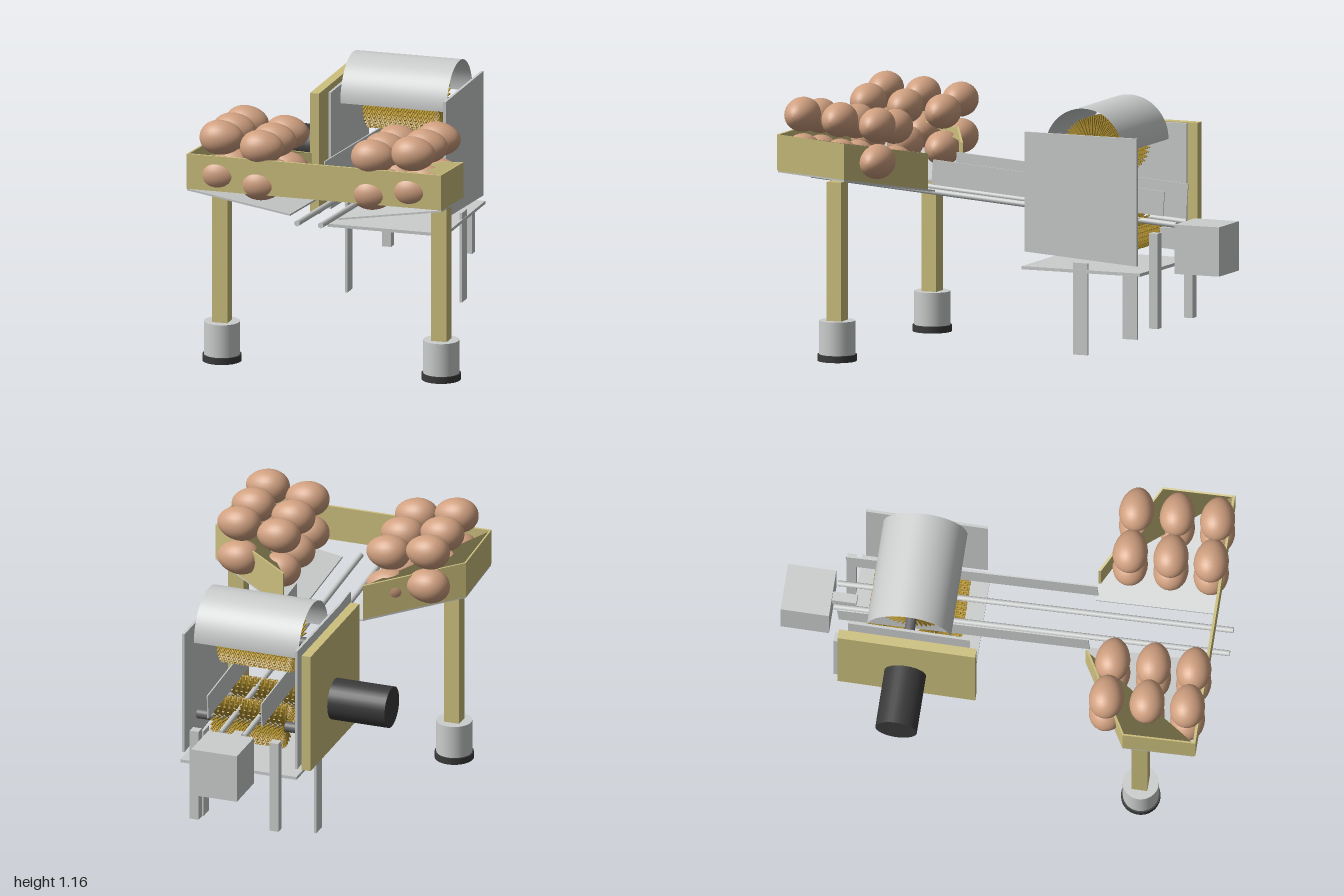
import * as THREE from 'three';
import { mergeGeometries } from 'three/addons/utils/BufferGeometryUtils.js';

const mat = (name, color, side = THREE.FrontSide) => {
  const m = new THREE.MeshStandardMaterial({ color, side });
  m.name = name;
  return m;
};

export function createModel() {
  const steel = mat('steel', 0xcccece, THREE.DoubleSide);
  const tan = mat('tan panel', 0xcdc07e);
  const black = mat('black', 0x3a3a3a);
  const shaftGrey = mat('shaft grey', 0x6a6a6a);
  const gold = mat('bristle gold', 0xb0902f);
  const shell = mat('eggshell', 0xd0a080);

  const root = new THREE.Group();
  root.name = 'eggBrushingMachine';
  const body = new THREE.Group();
  body.name = 'body';
  body.position.x = 0.009;
  root.add(body);

  const add = (name, geo, material, x = 0, y = 0, z = 0) => {
    const m = new THREE.Mesh(geo, material);
    m.name = name;
    m.position.set(x, y, z);
    body.add(m);
    return m;
  };
  const box = (name, material, w, h, d, x, y, z) =>
    add(name, new THREE.BoxGeometry(w, h, d), material, x, y, z);
  const crossCylinder = (r, len) => new THREE.CylinderGeometry(r, r, len, 32).rotateZ(Math.PI / 2);

  // The tray floor falls towards the centre and towards the back
  const floorY = (x, z) => 0.84 - 0.16 * (0.59 - Math.abs(x)) - 0.075 * (0.92 - z);

  // Upright prism over an [x, z] outline, sheared to follow the tray floor
  const prism = (outline, s, height) => {
    const shape = new THREE.Shape(outline.map(([x, z]) => new THREE.Vector2(s * x, -z)));
    const geo = new THREE.ExtrudeGeometry(shape, { depth: height, bevelEnabled: false });
    geo.rotateX(-Math.PI / 2);
    const p = geo.attributes.position;
    for (let i = 0; i < p.count; i++) p.setY(i, p.getY(i) + floorY(p.getX(i), p.getZ(i)));
    geo.computeVertexNormals();
    return geo;
  };

  // Egg lying along x, slightly fuller at one end
  const eggGeo = new THREE.SphereGeometry(1, 28, 18).rotateZ(Math.PI / 2);
  const ep = eggGeo.attributes.position;
  for (let i = 0; i < ep.count; i++) {
    const x = ep.getX(i), k = 1 - 0.1 * x;
    ep.setXYZ(i, x * 0.1, ep.getY(i) * 0.077 * k, ep.getZ(i) * 0.077 * k);
  }
  eggGeo.computeVertexNormals();

  // Front panel joining both trays
  box('frontPanel', tan, 1.18, 0.16, 0.012, 0, 0.925, 0.92);

  const slope = -Math.atan(0.068);
  for (const s of [-1, 1]) {
    // Tray legs and feet
    box('trayLeg', tan, 0.072, 0.63, 0.07, s * 0.509, 0.485, 0.67);
    add('footSleeve', new THREE.CylinderGeometry(0.08, 0.08, 0.15, 32), steel, s * 0.509, 0.105, 0.67);
    add('footPad', new THREE.CylinderGeometry(0.087, 0.087, 0.03, 32), black, s * 0.509, 0.015, 0.67);

    // Tray floor and bent outer wall
    add('trayFloor', prism([[0.59, 0.92], [0.59, 0.6], [0.188, 0.375], [0.112, 0.375], [0.112, 0.92]], s, 0.008), steel, 0, -0.004);
    add('trayWall', prism([[0.59, 0.92], [0.59, 0.6], [0.188, 0.375], [0.188, 0.387], [0.582, 0.605], [0.582, 0.92]], s, 0.165), tan);

    // Web across the bend of the wall
    const corners = [[0.59, 0.92], [0.59, 0.6], [0.188, 0.375]].map(([x, z]) => [s * x, floorY(x, z) + 0.163, z]);
    if (s < 0) corners.reverse();
    const web = new THREE.BufferGeometry();
    web.setAttribute('position', new THREE.Float32BufferAttribute(corners.flat(), 3));
    web.setAttribute('normal', new THREE.Float32BufferAttribute([0, 1, 2].flatMap(() => [s * 0.7, 0, -0.7]), 3));
    add('trayWeb', web, tan);

    // Two layers of eggs
    for (const z of [0.508, 0.69, 0.87])
      for (const [x, drop] of [[0.445, 0], [0.258, 0.03]])
        for (const layer of [0, 1])
          add('egg', eggGeo, shell, s * x, 0.915 - drop + layer * 0.163 - (0.87 - z) * 0.075, z);

    // Sloping rails and guide plates
    const rail = new THREE.CylinderGeometry(0.013, 0.013, 1.772, 16).rotateX(Math.PI / 2);
    add('rail', rail, steel, s * 0.055, 0.69, 0.115).rotation.x = slope;
    box('guidePlate', steel, 0.006, 0.112, 1.125, s * 0.127, 0.771, -0.18).rotation.x = slope;

    // Housing side plates and their legs
    const side = new THREE.Shape([[-0.13, 1.037], [-0.675, 1.037], [-0.675, 0.467], [-0.13, 0.503]].map((p) => new THREE.Vector2(...p)));
    const sideGeo = new THREE.ExtrudeGeometry(side, { depth: 0.012, bevelEnabled: false }).rotateY(-Math.PI / 2);
    add('sidePlate', sideGeo, steel, s * 0.266 + 0.006);
    box('housingLeg', steel, 0.012, 0.41, 0.07, s * 0.266, 0.262, -0.401);
    box('rearLeg', steel, 0.042, 0.425, 0.042, s * 0.188, 0.397, -0.727);
  }

  // Base plate, rear counterweight box and its link
  box('basePlate', steel, 0.548, 0.014, 0.575, 0, 0.43, -0.405);
  box('rearBox', steel, 0.216, 0.22, 0.216, 0, 0.53, -0.892);
  box('rearLink', steel, 0.042, 0.045, 0.12, 0, 0.588, -0.735);

  // Drive panel and motor
  box('drivePanel', tan, 0.042, 0.552, 0.615, -0.326, 0.76, -0.402);
  add('motor', crossCylinder(0.093, 0.27), black, -0.482, 0.709, -0.407);

  // Arched cover
  const cover = new THREE.CylinderGeometry(0.188, 0.188, 0.493, 32, 1, true, 0, Math.PI).rotateZ(Math.PI / 2);
  add('archedCover', cover, steel, 0, 0.965, -0.407);

  // Brush rollers: one above, two below
  const brush = (name, r, count, y, z) => {
    add(name + 'Shaft', crossCylinder(0.023, 0.51), shaftGrey, 0, y, z);
    const bristles = [];
    for (let ring = 0; ring < 14; ring++)
      for (let i = 0; i < count; i++) {
        const len = r - 0.02;
        bristles.push(new THREE.BoxGeometry(0.009, len, 0.005)
          .translate(0, 0.02 + len / 2, 0)
          .rotateX((i / count) * Math.PI * 2)
          .translate(-0.156 + ring * 0.024, 0, 0));
      }
    add(name + 'Bristles', mergeGeometries(bristles), gold, 0, y, z);
  };
  brush('upperBrush', 0.142, 40, 0.958, -0.405);
  brush('lowerFrontBrush', 0.098, 28, 0.592, -0.288);
  brush('lowerBackBrush', 0.098, 28, 0.592, -0.52);

  return root;
}
